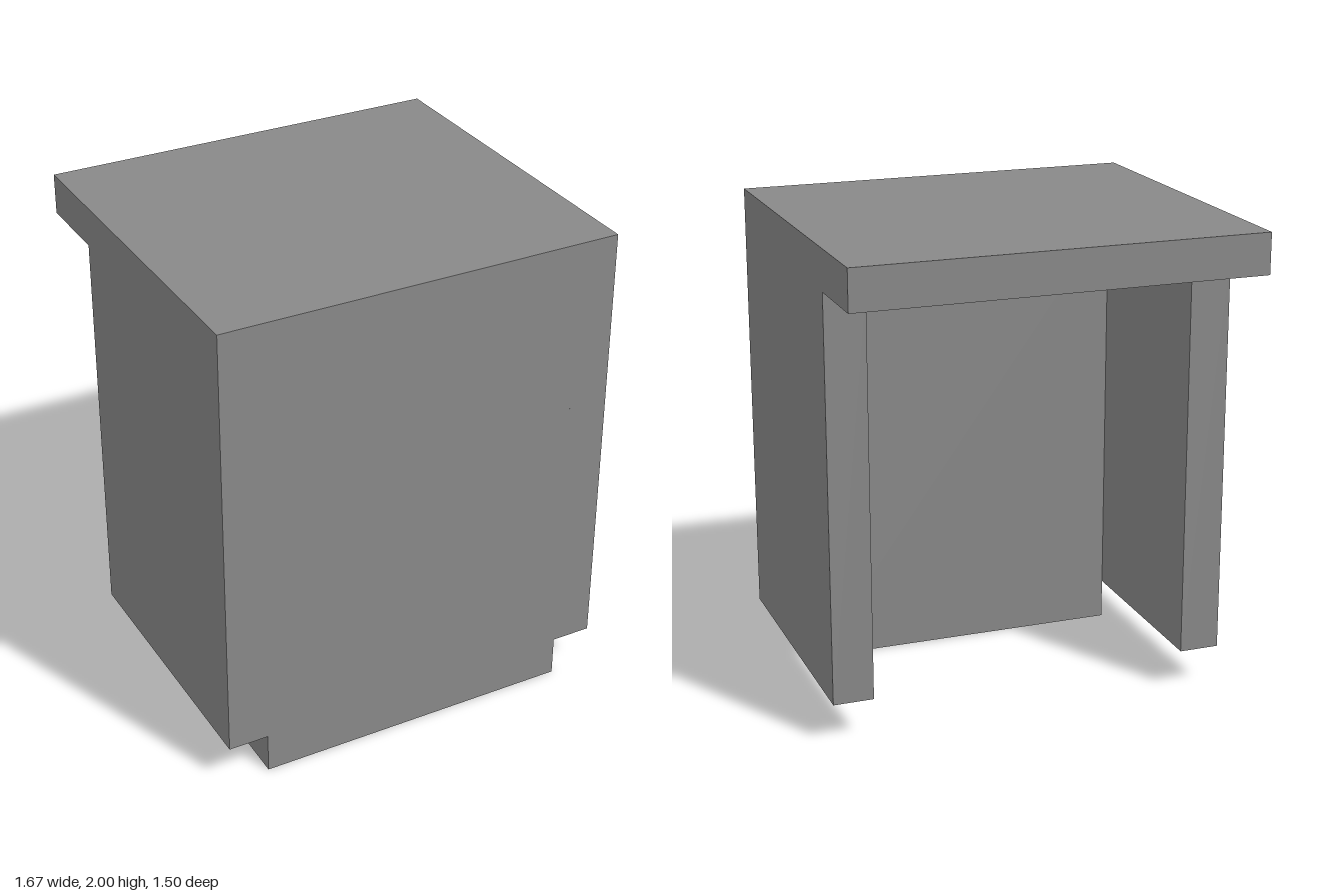
import * as THREE from 'three';

export function createModel() {
  const group = new THREE.Group();
  const grey = new THREE.MeshStandardMaterial({ color: 0x888888 });
  grey.name = 'plain grey';

  const U = 1 / 6; // module: the desk is 10 x 12 x 9 units

  // Box given by its min and max corners in units
  function box(name, [x0, y0, z0], [x1, y1, z1]) {
    const geometry = new THREE.BoxGeometry((x1 - x0) * U, (y1 - y0) * U, (z1 - z0) * U);
    const mesh = new THREE.Mesh(geometry, grey);
    mesh.position.set((x0 + x1) / 2 * U, (y0 + y1) / 2 * U, (z0 + z1) / 2 * U);
    mesh.name = name;
    group.add(mesh);
  }

  // Top slab, overhanging at the back
  box('topSlab', [-5, 11, -4.5], [5, 12, 4.5]);

  // Thick front panel reaching the floor
  box('frontPanel', [-4, 0, 2.5], [4, 11, 4.5]);

  // Side walls, raised off the floor
  box('leftWall', [4, 1, -2.5], [5, 11, 4.5]);
  box('rightWall', [-5, 1, -2.5], [-4, 11, 4.5]);

  return group;
}
